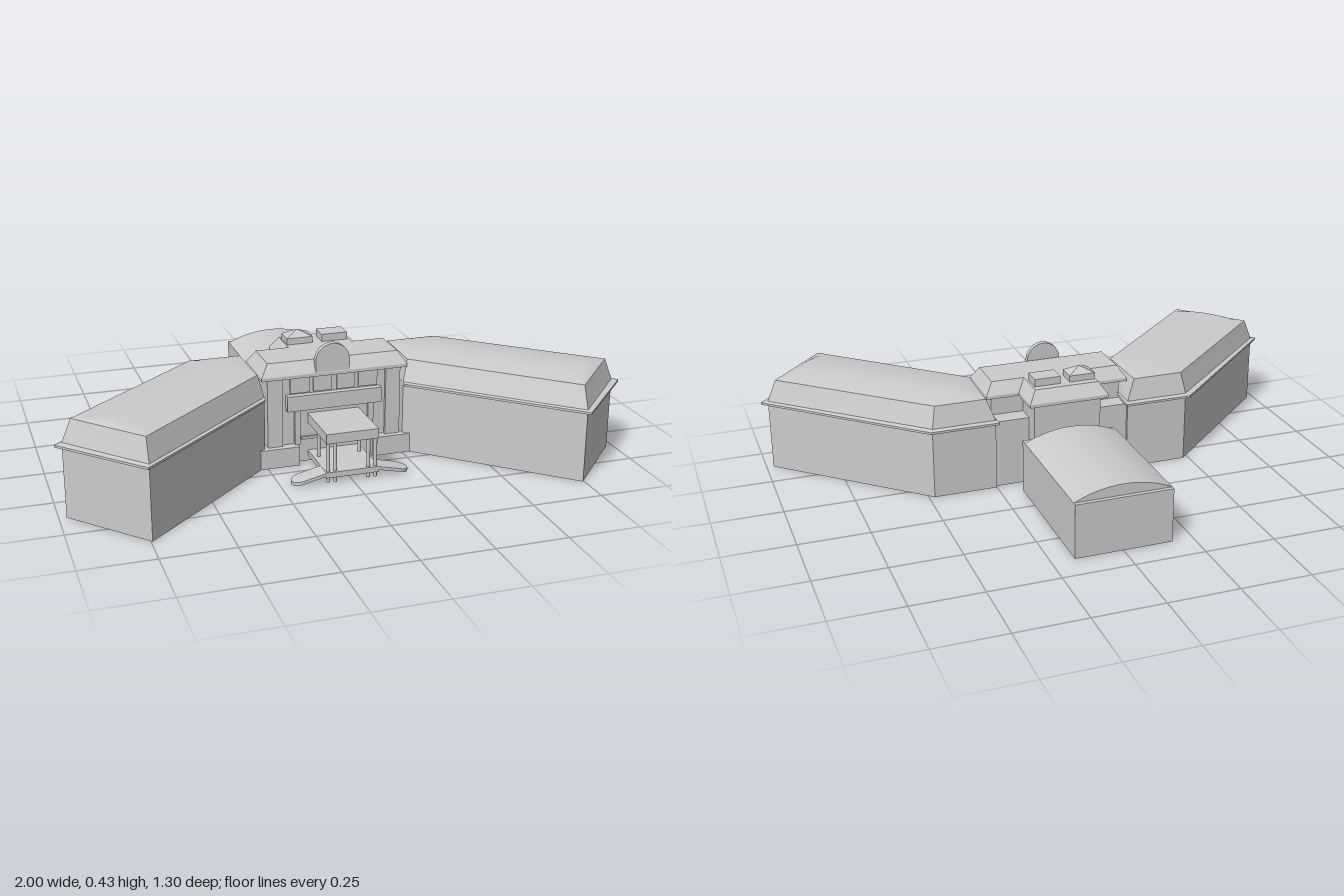
import * as THREE from 'three';

const mat = new THREE.MeshStandardMaterial({ color: 0xcccccc, flatShading: true, side: THREE.DoubleSide });
const smoothMat = new THREE.MeshStandardMaterial({ color: 0xcccccc, side: THREE.DoubleSide });

function add(parent, name, geo, m = mat) {
  const mesh = new THREE.Mesh(geo, m);
  mesh.name = name;
  parent.add(mesh);
  return mesh;
}

// box from min and max corners
function box(parent, name, x0, x1, y0, y1, z0, z1) {
  const mesh = add(parent, name, new THREE.BoxGeometry(x1 - x0, y1 - y0, z1 - z0));
  mesh.position.set((x0 + x1) / 2, (y0 + y1) / 2, (z0 + z1) / 2);
  return mesh;
}

// skin through stacked plan outlines [outline, y]; optional top and floor
function loft(rings, top = true, floor = false) {
  const pos = [], idx = [], n = rings[0][0].length;
  rings.forEach(([pts, y]) => pts.forEach(([x, z]) => pos.push(x, y, z)));
  for (let r = 0; r < rings.length - 1; r++) {
    for (let i = 0; i < n; i++) {
      const a = r * n + i, b = r * n + (i + 1) % n;
      idx.push(a, b, b + n, a, b + n, a + n);
    }
  }
  const cap = (r, flip) => {
    const contour = rings[r][0].map(([x, z]) => new THREE.Vector2(x, -z));
    THREE.ShapeUtils.triangulateShape(contour, []).forEach(([a, b, c]) =>
      idx.push(r * n + a, r * n + (flip ? c : b), r * n + (flip ? b : c)));
  };
  if (top) cap(rings.length - 1, false);
  if (floor) cap(0, true);
  const g = new THREE.BufferGeometry();
  g.setAttribute('position', new THREE.Float32BufferAttribute(pos, 3));
  g.setIndex(idx);
  const flat = g.toNonIndexed();
  flat.computeVertexNormals();
  return flat;
}

// shallow arched crown of a wing, falling to the rim at both ends
function crownGeometry(rim) {
  const N = 12, pos = [], idx = [];
  const [frontIn, frontOut, backOut, backIn, innerBack] = rim;
  const mix = (a, b, t) => [a[0] + (b[0] - a[0]) * t, a[1] + (b[1] - a[1]) * t];
  const stations = [
    t => t < 0.5 ? mix(frontIn, innerBack, t * 2) : mix(innerBack, backIn, t * 2 - 1),
    t => mix(frontIn, backIn, t),
    t => mix(mix(frontIn, frontOut, 0.95), mix(backIn, backOut, 0.95), t),
    t => mix(frontOut, backOut, t),
  ];
  stations.forEach((f, s) => {
    for (let i = 0; i <= N; i++) {
      const t = i / N, [x, z] = f(t);
      const lift = s === 1 || s === 2 ? 0.016 * (1 - (2 * t - 1) ** 2) : 0;
      pos.push(x, 0.34 + lift, z);
    }
  });
  for (let s = 0; s < 3; s++) {
    for (let i = 0; i < N; i++) {
      const a = s * (N + 1) + i, b = a + N + 1;
      idx.push(a, b, b + 1, a, b + 1, a + 1);
    }
  }
  const g = new THREE.BufferGeometry();
  g.setAttribute('position', new THREE.Float32BufferAttribute(pos, 3));
  g.setIndex(idx);
  g.computeVertexNormals();
  return g;
}

function makeWing(name) {
  const wing = new THREE.Group();
  wing.name = name;
  const wall = [[0.255, 0.18], [0.745, 0.63], [0.975, 0.375], [0.48, -0.07], [0.25, -0.07]];
  const eave = [[0.255, 0.195], [0.75, 0.648], [1, 0.38], [0.49, -0.088], [0.24, -0.088]];
  const rim = [[0.275, 0.165], [0.745, 0.597], [0.943, 0.375], [0.465, -0.053], [0.28, -0.053]];
  add(wing, 'wingWalls', loft([[wall, 0], [wall, 0.25]], false));
  add(wing, 'wingRoofSlopes', loft([[wall, 0.25], [eave, 0.25], [eave, 0.258], [wall, 0.262], [rim, 0.34]], false));
  add(wing, 'wingRoofCrown', crownGeometry(rim), smoothMat);
  box(wing, 'wingConnector', 0.12, 0.26, 0, 0.25, -0.06, 0.02);
  return wing;
}

// T-shaped plan of the central block, grown by o
function tPlan(o) {
  const w = 0.25 + o, b = 0.13 + o, f = 0.172 + o, m = -o, r = -0.125 - o;
  return [[-w, f], [w, f], [w, m], [b, m], [b, r], [-b, r], [-b, m], [-w, m]];
}

export function createModel() {
  const model = new THREE.Group();
  model.name = 'building';

  // two mirrored wings
  model.add(makeWing('leftWing'));
  const right = makeWing('rightWing');
  right.scale.x = -1;
  model.add(right);

  // rear hall with arched roof
  const hall = [[-0.175, -0.125], [0.17, -0.125], [0.17, -0.65], [-0.175, -0.65]];
  add(model, 'rearHallWalls', loft([[hall, 0], [hall, 0.195]]));
  const arch = new THREE.Shape();
  const rad = 0.39, half = Math.asin(0.172 / rad);
  arch.absarc(0, 0.235 - rad, rad, Math.PI / 2 - half, Math.PI / 2 + half, false);
  const vault = new THREE.ExtrudeGeometry(arch, { depth: 0.485, bevelEnabled: false, curveSegments: 20 });
  vault.translate(-0.0025, 0, -0.635);
  add(model, 'rearHallRoof', vault, smoothMat);

  // central block and its sloped roof
  const centre = new THREE.Group();
  centre.name = 'centralBlock';
  model.add(centre);
  add(centre, 'centralWalls', loft([[tPlan(-0.006), 0], [tPlan(-0.006), 0.32]], false, true));
  add(centre, 'centralRoof', loft([[tPlan(-0.006), 0.32], [tPlan(0.016), 0.32], [tPlan(0.016), 0.332], [tPlan(-0.012), 0.375]]));

  // round-topped crest over the front
  const crest = new THREE.Shape();
  crest.moveTo(-0.062, 0.33);
  crest.lineTo(0.062, 0.33);
  crest.lineTo(0.062, 0.372);
  crest.absarc(0, 0.372, 0.062, 0, Math.PI, false);
  const crestGeo = new THREE.ExtrudeGeometry(crest, { depth: 0.02, bevelEnabled: false, curveSegments: 16 });
  crestGeo.translate(-0.01, 0, 0.167);
  add(centre, 'frontCrest', crestGeo);

  // roof vents, one with a pyramid cap
  box(centre, 'roofVentLeft', 0.015, 0.11, 0.37, 0.402, -0.085, -0.015);
  box(centre, 'roofVentRight', -0.115, -0.02, 0.37, 0.398, -0.085, -0.015);
  const cap = add(centre, 'ventCap', new THREE.ConeGeometry(Math.SQRT1_2, 0.022, 4).rotateY(Math.PI / 4));
  cap.scale.set(0.095, 1, 0.07);
  cap.position.set(-0.0675, 0.409, -0.05);

  // front details: plinths, piers, balcony band, upper windows
  for (const s of [-1, 1]) {
    const pair = new THREE.Group();
    pair.name = s > 0 ? 'facadeLeft' : 'facadeRight';
    pair.scale.x = s;
    box(pair, 'plinth', 0.135, 0.28, 0, 0.07, 0.1, 0.2);
    box(pair, 'cornerPier', 0.19, 0.244, 0.07, 0.32, 0.16, 0.178);
    box(pair, 'innerPier', 0.125, 0.145, 0.07, 0.2, 0.16, 0.178);
    box(pair, 'windowOuter', 0.09, 0.16, 0.26, 0.318, 0.16, 0.172);
    box(pair, 'windowInner', 0.01, 0.075, 0.26, 0.318, 0.16, 0.172);
    centre.add(pair);
  }
  box(centre, 'balconyBand', -0.175, 0.17, 0.2, 0.255, 0.16, 0.19);
  box(centre, 'doorLintel', -0.12, 0.12, 0.085, 0.095, 0.16, 0.175);

  // entrance: platform, canopy on posts, curved side ramps
  const porch = new THREE.Group();
  porch.name = 'entrance';
  model.add(porch);
  box(porch, 'platform', -0.095, 0.095, 0.02, 0.04, 0.16, 0.38);
  box(porch, 'step', -0.08, 0.08, 0, 0.02, 0.16, 0.31);
  box(porch, 'canopy', -0.095, 0.092, 0.145, 0.18, 0.165, 0.38);
  for (const s of [-1, 1]) {
    for (const [x, z] of [[0.085, 0.365], [0.06, 0.365], [0.075, 0.23]]) {
      const post = add(porch, 'canopyPost', new THREE.CylinderGeometry(0.007, 0.007, 0.145, 8), smoothMat);
      post.position.set(s * x, 0.0725, z);
    }
    const plan = new THREE.Shape();
    plan.moveTo(0.09, -0.38);
    plan.lineTo(0.175, -0.38);
    plan.absarc(0.175, -0.345, 0.035, -Math.PI / 2, Math.PI / 2, false);
    plan.lineTo(0.09, -0.31);
    const ramp = new THREE.ExtrudeGeometry(plan, { depth: 0.012, bevelEnabled: false, curveSegments: 12 });
    ramp.rotateX(-Math.PI / 2);
    // slope the ramp down towards its round end
    const p = ramp.attributes.position;
    for (let i = 0; i < p.count; i++) p.setY(i, p.getY(i) + 0.028 * (0.21 - p.getX(i)) / 0.12);
    ramp.computeVertexNormals();
    const mesh = add(porch, s > 0 ? 'rampLeft' : 'rampRight', ramp);
    mesh.scale.x = s;
  }
  return model;
}
